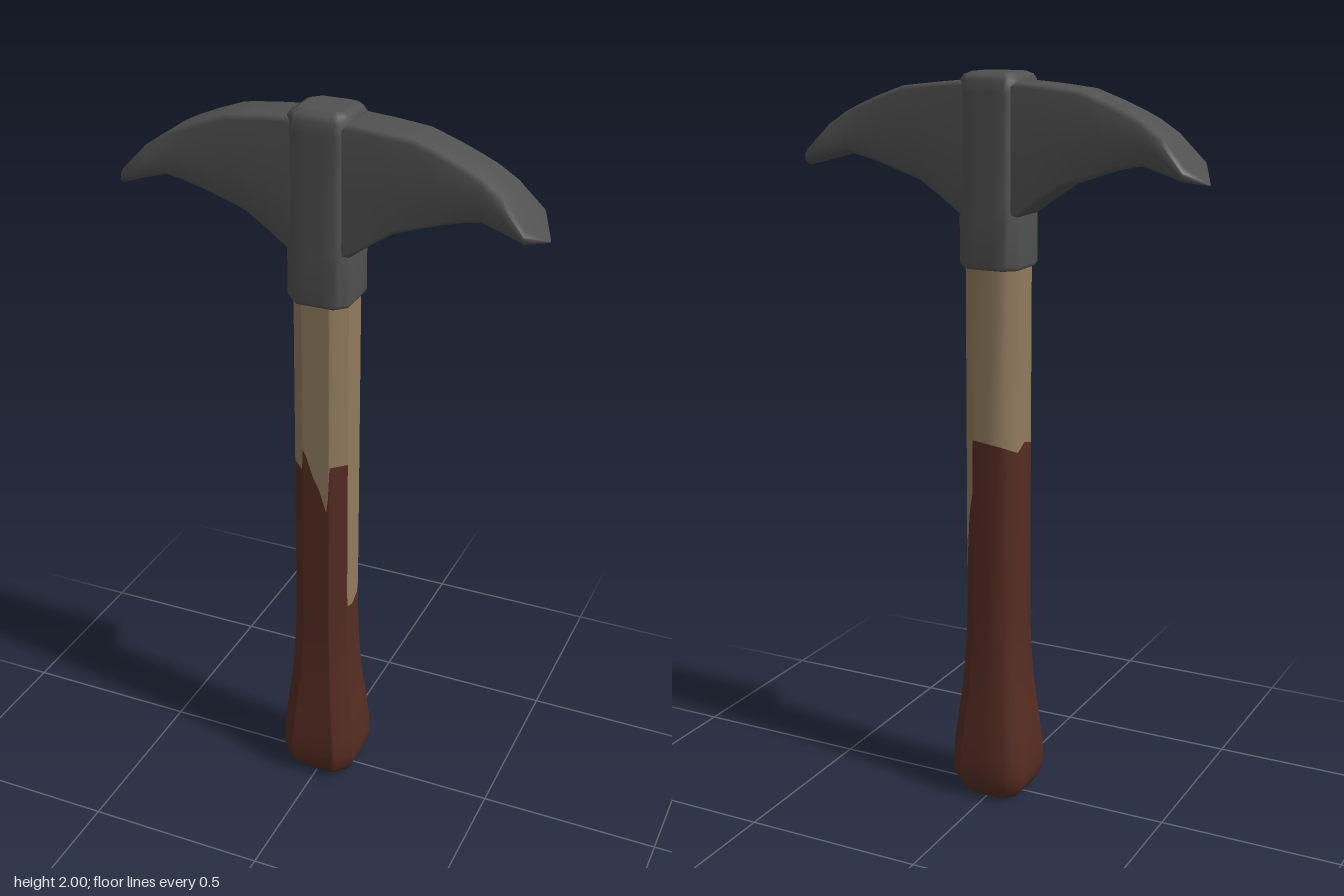
import * as THREE from 'three';

const metal = new THREE.MeshStandardMaterial({ color: 0x505050, name: 'dark iron' });
const wood = new THREE.MeshStandardMaterial({ color: 0x927b5e, name: 'bare wood' });
const paint = new THREE.MeshStandardMaterial({ color: 0x552c22, name: 'red brown paint' });

// Skin a list of closed rings (equal point counts) with smooth normals and flat end caps
function loft(rings, name, material, capStart = true, capEnd = true) {
  const n = rings[0].length, pos = rings.flat(2), idx = [];
  for (let j = 0; j < rings.length - 1; j++) {
    for (let k = 0; k < n; k++) {
      const a = j * n + k, b = j * n + (k + 1) % n;
      idx.push(a, a + n, b, b, a + n, b + n);
    }
  }
  const cap = (ring, flip) => {
    const base = pos.length / 3;
    const mid = [0, 1, 2].map(i => ring.reduce((s, p) => s + p[i], 0) / n);
    pos.push(...ring.flat(), ...mid);
    for (let k = 0; k < n; k++) {
      const a = base + k, b = base + (k + 1) % n;
      idx.push(base + n, flip ? b : a, flip ? a : b);
    }
  };
  if (capStart) cap(rings[0], false);
  if (capEnd) cap(rings[rings.length - 1], true);
  const geo = new THREE.BufferGeometry();
  geo.setAttribute('position', new THREE.Float32BufferAttribute(pos, 3));
  geo.setIndex(idx);
  geo.computeVertexNormals();
  const mesh = new THREE.Mesh(geo, material);
  mesh.name = name;
  return mesh;
}

// Point on a chamfered square: u runs 0..8 over its corners, h half width, f half flat
function octagon(u, h, f, y) {
  const c = [[h, -f], [h, f], [f, h], [-f, h], [-h, f], [-h, -f], [-f, -h], [f, -h]];
  const i = Math.floor(u) % 8, t = u - Math.floor(u), a = c[i], b = c[(i + 1) % 8];
  return [a[0] + (b[0] - a[0]) * t, y, a[1] + (b[1] - a[1]) * t];
}

// Worn upper edge of the paint: [position around the handle, height]
const wornEdge = [
  [0, 0.62], [0.08, 0.59], [0.5, 0.57], [0.92, 0.58], [0.98, 0.62],
  [1, 1.04], [1.5, 1.04], [2, 1.04], [2.06, 0.94], [2.12, 0.9], [2.4, 0.97], [2.6, 1.0],
  [2.85, 1.06], [2.97, 1.08], [3, 1.02], [3.5, 1.02], [4, 1.02], [4.5, 1.03], [5, 1.01],
  [5.5, 1.02], [6, 1.03], [6.5, 1.035], [7, 1.04], [7.05, 0.89], [7.4, 0.85], [7.6, 0.81], [7.9, 0.7],
];

function handle() {
  const group = new THREE.Group();
  group.name = 'handle';
  const profile = [
    [0, 0.075, 0.045], [0.012, 0.085, 0.052], [0.04, 0.103, 0.064], [0.08, 0.109, 0.068],
    [0.13, 0.107, 0.066], [0.22, 0.099, 0.058], [0.33, 0.087, 0.048], [0.45, 0.08, 0.042], [0.54, 0.078, 0.04],
  ];
  const rings = profile.map(([y, h, f]) => wornEdge.map(([u]) => octagon(u, h, f, y)));
  const edge = wornEdge.map(([u, y]) => octagon(u, 0.077, 0.04, y));
  const top = wornEdge.map(([u]) => octagon(u, 0.077, 0.04, 1.53));
  group.add(loft([...rings, edge], 'paintedGrip', paint, true, false));
  group.add(loft([edge, top], 'bareShaft', wood, false, true));
  return group;
}

function head() {
  const group = new THREE.Group();
  group.name = 'head';

  // Socket column through the middle
  const column = [
    [1.5, 0.079, 0.05], [1.512, 0.086, 0.055], [1.63, 0.086, 0.055], [1.66, 0.084, 0.054],
    [1.95, 0.084, 0.054], [1.98, 0.082, 0.054], [1.993, 0.074, 0.05], [2, 0.058, 0.038],
  ];
  const around = Array.from({ length: 24 }, (_, i) => i / 3);
  group.add(loft(column.map(([y, h, f]) => around.map(u => octagon(u, h, f, y))), 'socket', metal));

  // Double blade: [x, top, bottom, half thickness], mirrored about the middle
  const half = [
    [0, 1.978, 1.6, 0.07], [0.085, 1.976, 1.64, 0.07], [0.14, 1.972, 1.68, 0.069],
    [0.2, 1.966, 1.72, 0.069], [0.25, 1.96, 1.737, 0.068], [0.32, 1.935, 1.76, 0.068],
    [0.38, 1.91, 1.776, 0.069], [0.42, 1.89, 1.784, 0.072], [0.47, 1.856, 1.77, 0.077],
    [0.535, 1.787, 1.752, 0.088], [0.575, 1.742, 1.738, 0.004],
  ];
  const mirrored = half.slice(1).reverse().map(([x, ...r]) => [-x, ...r]);
  const rings = [...mirrored, ...half].map(([x, t, b, w]) => {
    const e = Math.min(0.012, (t - b) * 0.3), i = w - Math.min(e, w * 0.5);
    return [
      [t, i], [t, 0], [t, -i], [t - e, -w], [(t + b) / 2, -w], [b + e, -w],
      [b, -i], [b, 0], [b, i], [b + e, w], [(t + b) / 2, w], [t - e, w],
    ].map(([y, z]) => [x, y, z]);
  });
  group.add(loft(rings, 'blades', metal));
  return group;
}

export function createModel() {
  const model = new THREE.Group();
  model.name = 'pickaxe';
  model.add(handle(), head());
  return model;
}
